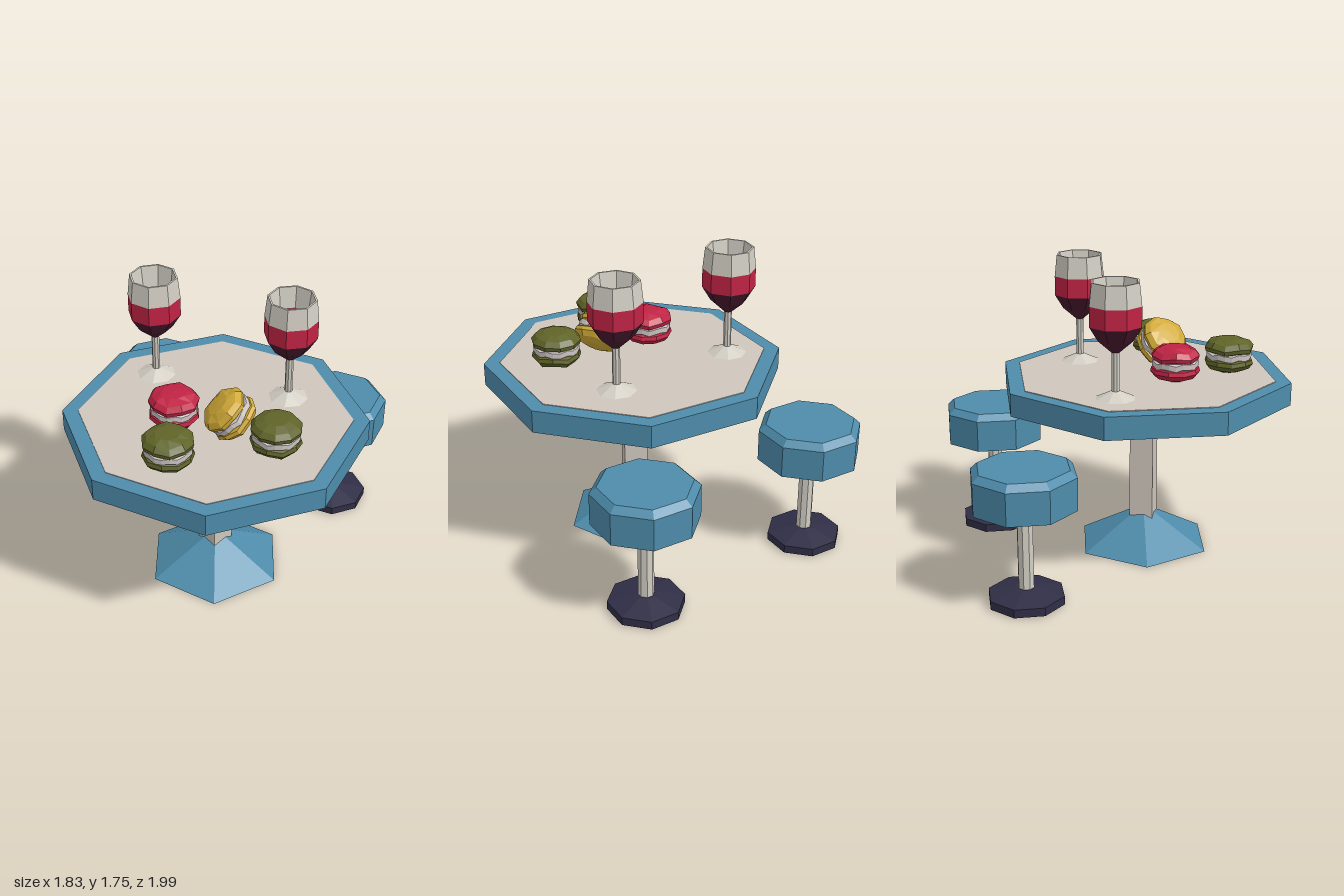
import * as THREE from 'three';

const flat = (color, name, side = THREE.FrontSide) => {
  const m = new THREE.MeshStandardMaterial({ color, side });
  m.name = name;
  return m;
};

export function createModel() {
  const model = new THREE.Group();
  model.name = 'bistroSet';

  const blue = flat(0x4e8cab, 'blue paint');
  const stone = flat(0xcfc6bc, 'pale stone');
  const glass = flat(0xd2cec4, 'pale glass');
  const wine = flat(0xc02344, 'red wine');
  const darkWine = flat(0x481a2e, 'dark wine');
  const olive = flat(0x606428, 'olive shell');
  const yellow = flat(0xd0a936, 'yellow shell');
  const filling = flat(0xccc4c2, 'cream filling');
  const dark = flat(0x302e46, 'dark base');

  // Faceted turned part: profile of [radius, y] from bottom to top,
  // with one corner at the given angle (degrees from +x towards +z).
  function turned(parent, name, material, profile, sides, corner = 0, warp) {
    const points = profile.map(([r, y]) => new THREE.Vector2(r, y));
    const start = Math.PI / 2 - THREE.MathUtils.degToRad(corner);
    let geo = new THREE.LatheGeometry(points, sides, start);
    if (warp) {
      const p = geo.attributes.position;
      for (let i = 0; i < p.count; i++) {
        const t = Math.atan2(p.getZ(i), p.getX(i));
        p.setY(i, p.getY(i) + warp(t, Math.hypot(p.getX(i), p.getZ(i))));
      }
    }
    geo = geo.toNonIndexed();
    geo.computeVertexNormals();
    const mesh = new THREE.Mesh(geo, material);
    mesh.name = name;
    parent.add(mesh);
    return mesh;
  }

  function group(name, x, y, z, parent = model) {
    const g = new THREE.Group();
    g.name = name;
    g.position.set(x, y, z);
    parent.add(g);
    return g;
  }

  // Table
  const table = group('table', 0.08, 0, 0.163);
  turned(table, 'tableTop', blue, [[0, 0.952], [0.882, 0.952], [0.882, 1.086], [0, 1.086]], 8, -20);
  turned(table, 'tableInlay', stone, [[0.79, 1.086], [0.79, 1.09], [0, 1.09]], 8, -20);
  turned(table, 'tablePole', stone, [[0.1, 0.1], [0.1, 0.96]], 4, -22);
  turned(table, 'tableBase', blue, [[0, 0], [0.42, 0], [0, 0.235]], 6, 7.5);

  // Two stools behind the table
  for (const [x, z] of [[0.54, -0.712], [-0.635, -0.638]]) {
    const stool = group('stool', x, 0, z);
    turned(stool, 'stoolSeat', blue,
      [[0, 0.575], [0.305, 0.575], [0.305, 0.765], [0.265, 0.803], [0, 0.803]], 8, -21.5);
    turned(stool, 'stoolStem', glass, [[0, 0.05], [0.022, 0], [0.046, 0], [0.046, 0.58]], 8, -21.5);
    turned(stool, 'stoolFoot', dark,
      [[0.04, 0.004], [0.222, 0.004], [0.222, 0.053], [0.06, 0.088], [0, 0.088]], 8, -21.5);
  }

  // Two wine glasses, heights measured from the table top
  for (const [x, z, turn] of [[-0.415, -0.095, -14], [0.397, -0.178, -10]]) {
    const cup = group('wineGlass', x, 1.09, z);
    turned(cup, 'glassFoot', glass, [[0, 0.001], [0.116, 0.001], [0.022, 0.045]], 8, turn);
    turned(cup, 'glassStem', glass, [[0.023, 0.03], [0.023, 0.28]], 8, turn);
    turned(cup, 'lowerBowl', darkWine, [[0, 0.266], [0.024, 0.266], [0.105, 0.338], [0.155, 0.42]], 8, turn);
    turned(cup, 'wineBand', wine, [[0.155, 0.42], [0.155, 0.535]], 8, turn);
    turned(cup, 'upperBowl', glass, [[0.155, 0.535], [0.141, 0.663], [0.13, 0.663], [0.112, 0.53]], 8, turn);
    turned(cup, 'wineSurface', wine, [[0.113, 0.532], [0, 0.532]], 8, turn);
  }

  // Filled biscuits: two domed shells around a wavy filling
  const dome = [[0.118, 0.016], [0.14, 0.026], [0.146, 0.05], [0.122, 0.08], [0.07, 0.099], [0, 0.102]];
  function biscuit(name, material, x, y, z, turn) {
    const g = group(name, x, y, z);
    const ripple = (t, r) => (r > 0.11 ? 0.006 * Math.sin(5 * t + turn) : 0);
    turned(g, 'topShell', material, dome, 10, turn, ripple);
    turned(g, 'bottomShell', material, dome.map(([r, h]) => [r, -h]).reverse(), 10, turn + 18, ripple);
    turned(g, 'filling', filling, [[0.115, -0.026], [0.135, -0.016], [0.135, 0.016], [0.115, 0.026]], 20, turn,
      (t) => 0.007 * Math.sin(7 * t));
    return g;
  }
  biscuit('redBiscuit', wine, -0.11, 1.192, 0.31, 10);
  biscuit('oliveBiscuit', olive, 0.51, 1.192, 0.32, 0);
  biscuit('frontOliveBiscuit', olive, 0.02, 1.192, 0.667, 25);

  // Yellow biscuit leaning on its neighbour
  const leaning = biscuit('yellowBiscuit', yellow, 0.225, 1.23, 0.3, 5);
  leaning.quaternion.setFromUnitVectors(
    new THREE.Vector3(0, 1, 0), new THREE.Vector3(-0.6, 0.72, 0.33).normalize());

  return model;
}
